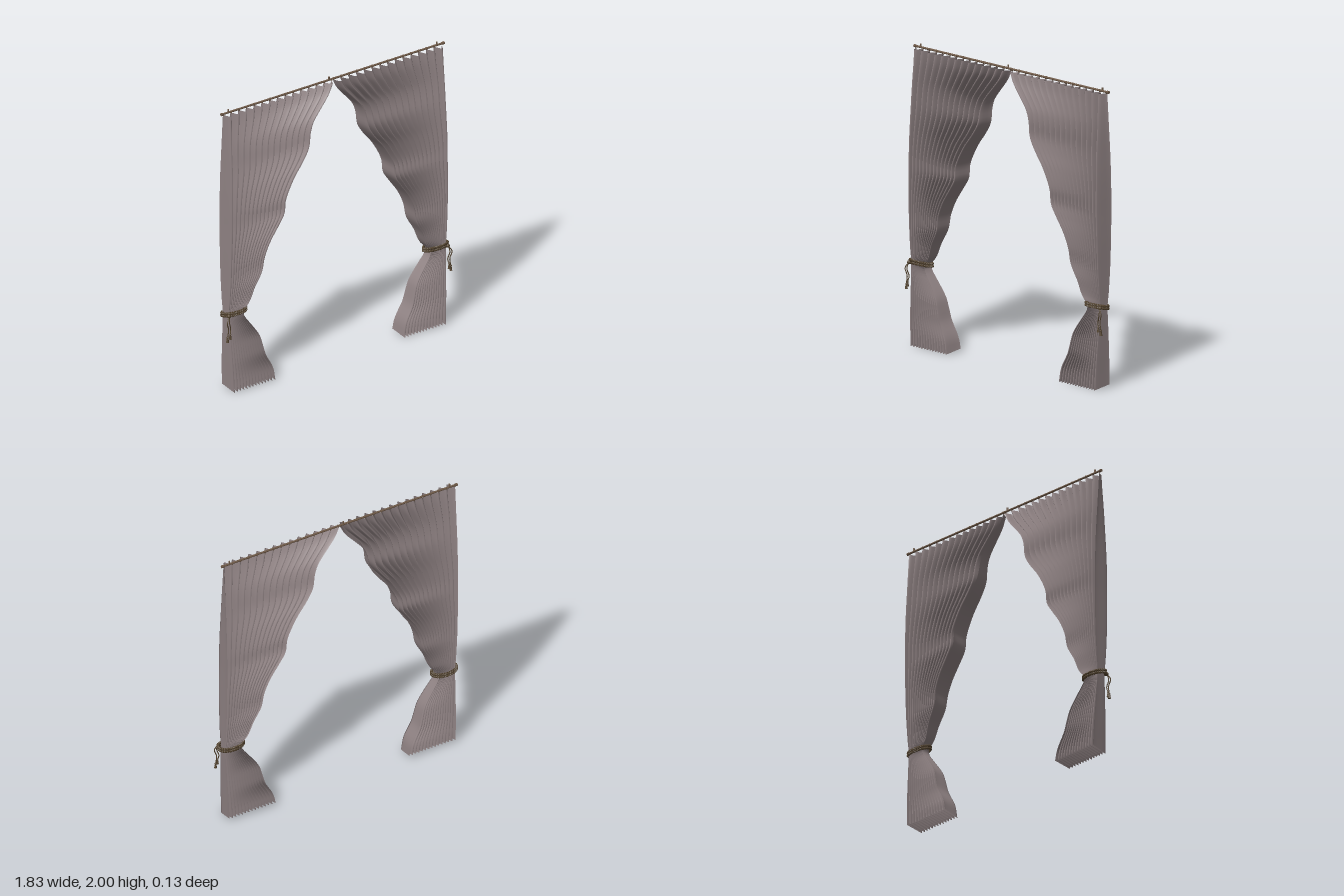
import * as THREE from 'three';

const PLEATS = 14, TOP = 1.967;

// [height, inner edge x] of one curtain panel
const INNER = [[0, .51], [.1, .53], [.2, .585], [.27, .605], [.35, .63], [.45, .7], [.51, .745], [.55, .752],
  [.6, .71], [.7, .67], [.8, .615], [.9, .595], [1, .55], [1.1, .48], [1.17, .435], [1.27, .42], [1.4, .35],
  [1.5, .27], [1.58, .22], [1.68, .2], [1.75, .17], [1.82, .11], [1.9, .04], [TOP, .004]];
// [height, outer edge x]
const OUTER = [[0, .862], [.5, .876], [1, .88], [TOP, .882]];
// [height, half depth of the pleats]
const DEPTH = [[0, .062], [.2, .056], [.4, .042], [.55, .033], [.65, .043], [.85, .056], [1.2, .063],
  [1.5, .056], [1.75, .04], [TOP, .025]];

// Smooth lookup through [height, value] points
function sample(table, y) {
  const n = table.length;
  let i = 0;
  while (i < n - 2 && y > table[i + 1][0]) i++;
  const slope = k => {
    const a = table[Math.max(k - 1, 0)], b = table[Math.min(k + 1, n - 1)];
    return (b[1] - a[1]) / (b[0] - a[0]);
  };
  const [y0, v0] = table[i], [y1, v1] = table[i + 1], h = y1 - y0;
  const t = (y - y0) / h, t2 = t * t, t3 = t2 * t;
  return v0 * (2 * t3 - 3 * t2 + 1) + slope(i) * h * (t3 - 2 * t2 + t)
    + v1 * (3 * t2 - 2 * t3) + slope(i + 1) * h * (t3 - t2);
}

// Pleated cloth gathered between its outer and inner edges
function clothGeometry(side) {
  const cols = PLEATS * 10, rows = 80;
  const geo = new THREE.PlaneGeometry(1, 1, cols, rows);
  const pos = geo.attributes.position;
  for (let i = 0; i < pos.count; i++) {
    const u = pos.getX(i) + .5, v = pos.getY(i) + .5;
    const y = v * TOP;
    const wave = -Math.cos(u * PLEATS * Math.PI * 2);
    const x = THREE.MathUtils.lerp(sample(OUTER, y), sample(INNER, y), u);
    const drop = .022 * Math.max(0, 1 - y / .1) * (.5 - .5 * wave);
    pos.setXYZ(i, side * x, y + drop, wave * sample(DEPTH, y));
  }
  geo.computeVertexNormals();
  return geo;
}

// One strand of twisted rope running round a closed oval
class RopeStrand extends THREE.Curve {
  constructor(side, y, phase) {
    super();
    Object.assign(this, { side, y, phase });
  }
  getPoint(t, target = new THREE.Vector3()) {
    const a = t * Math.PI * 2, w = a * 16 + this.phase, r = .0045;
    const out = r * Math.cos(w);
    return target.set(this.side * (.812 + (.092 + out) * Math.cos(a)),
      this.y + r * Math.sin(w) + .007 * Math.sin(a), (.048 + out) * Math.sin(a));
  }
}

export function createModel() {
  const model = new THREE.Group();
  const cloth = new THREE.MeshStandardMaterial({ color: 0x8f8283, side: THREE.DoubleSide });
  cloth.name = 'greyMauveCloth';
  const wood = new THREE.MeshStandardMaterial({ color: 0x6f5a48 });
  wood.name = 'brownRod';
  const rope = new THREE.MeshStandardMaterial({ color: 0x54442f });
  rope.name = 'darkRope';

  const add = (parent, name, geo, mat, x = 0, y = 0, z = 0) => {
    const mesh = new THREE.Mesh(geo, mat);
    mesh.name = name;
    mesh.position.set(x, y, z);
    parent.add(mesh);
    return mesh;
  };

  // Rod with end caps and upright hangers
  const rod = new THREE.Group();
  rod.name = 'curtainRod';
  model.add(rod);
  add(rod, 'rod', new THREE.CylinderGeometry(.007, .007, 1.78, 10), wood, 0, 1.977, -.022).rotation.z = Math.PI / 2;
  for (const s of [-1, 1])
    add(rod, 'rodEnd', new THREE.CylinderGeometry(.01, .01, .014, 10), wood, s * .892, 1.977, -.022).rotation.z = Math.PI / 2;
  for (const x of [-.84, -.03, .84])
    add(rod, 'rodHanger', new THREE.CylinderGeometry(.006, .006, .028, 8), wood, x, 1.986, -.022);

  for (const side of [1, -1]) {
    const panel = new THREE.Group();
    panel.name = side > 0 ? 'leftCurtain' : 'rightCurtain';
    model.add(panel);
    add(panel, 'pleatedCloth', clothGeometry(side), cloth);

    // A ring on every back fold
    const ringGeo = new THREE.TorusGeometry(.0085, .002, 6, 12);
    for (let i = 0; i <= PLEATS; i++) {
      const x = THREE.MathUtils.lerp(.88, .008, i / PLEATS);
      add(panel, 'curtainRing', ringGeo, wood, side * x, 1.975, -.022).rotation.y = Math.PI / 2;
    }

    // Tie-back: two loops of twisted rope
    const tie = new THREE.Group();
    tie.name = 'tieBack';
    panel.add(tie);
    for (const y of [.543, .56])
      for (const phase of [0, Math.PI])
        add(tie, 'ropeStrand', new THREE.TubeGeometry(new RopeStrand(side, y, phase), 200, .005, 6, true), rope);

    // Knot, hanging cords and tassels
    add(tie, 'knot', new THREE.SphereGeometry(.013, 10, 8), rope, side * .882, .55, .042);
    for (const [x, y, z] of [[.899, .405, .05], [.882, .425, .056]]) {
      const cord = new THREE.CatmullRomCurve3([
        new THREE.Vector3(side * .882, .55, .045),
        new THREE.Vector3(side * (x + .006), .51, .055),
        new THREE.Vector3(side * (x - .008), .46, .05),
        new THREE.Vector3(side * x, y, z)]);
      add(tie, 'cord', new THREE.TubeGeometry(cord, 20, .0035, 6), rope);
      add(tie, 'tasselHead', new THREE.SphereGeometry(.007, 8, 6), rope, side * x, y, z);
      add(tie, 'tassel', new THREE.CylinderGeometry(.005, .01, .03, 8), rope, side * x, y - .018, z);
    }
  }
  return model;
}
